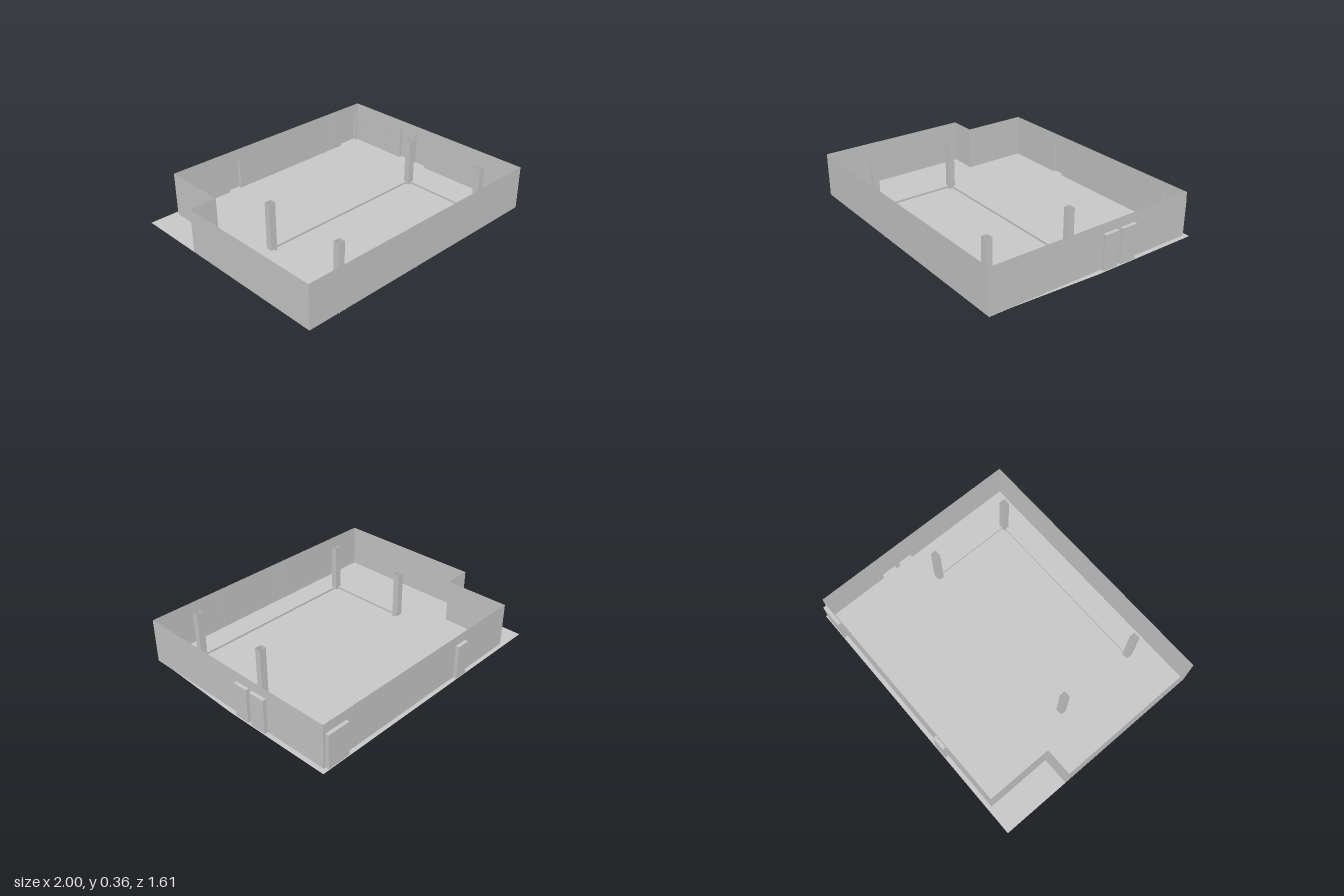
import * as THREE from 'three';

const FLOOR = 0.018, TOP = 0.335, DOOR_TOP = 0.265, PIT = 0.003;

export function createModel() {
  const model = new THREE.Group();
  const mat = new THREE.MeshStandardMaterial({ color: 0xcccccc, side: THREE.DoubleSide, flatShading: true });

  function add(geometry, name, parent = model) {
    const mesh = new THREE.Mesh(geometry, mat);
    mesh.name = name;
    parent.add(mesh);
    return mesh;
  }
  function box(name, x0, x1, y0, y1, z0, z1, parent) {
    const mesh = add(new THREE.BoxGeometry(x1 - x0, y1 - y0, z1 - z0), name, parent);
    mesh.position.set((x0 + x1) / 2, (y0 + y1) / 2, (z0 + z1) / 2);
    return mesh;
  }
  const rect = (C, a0, b0, a1, b1) => {
    const p = new C();
    p.moveTo(a0, b0).lineTo(a1, b0).lineTo(a1, b1).lineTo(a0, b1).closePath();
    return p;
  };

  // Open ring of four upright faces: used for pit sides, columns and door reveals
  function ring(name, x0, x1, y0, y1, z0, z1) {
    const corners = [[x0, z0], [x0, z1], [x1, z1], [x1, z0]];
    const pos = [], idx = [];
    corners.forEach(([x, z], i) => {
      const [u, w] = corners[(i + 1) % 4];
      pos.push(x, y0, z, u, y0, w, u, y1, w, x, y1, z);
      const k = i * 4;
      idx.push(k, k + 1, k + 2, k, k + 2, k + 3);
    });
    const g = new THREE.BufferGeometry();
    g.setAttribute('position', new THREE.Float32BufferAttribute(pos, 3));
    g.setIndex(idx);
    g.computeVertexNormals();
    return add(g, name);
  }

  // Floor slab surface with a rectangular opening for the sunken area
  const px0 = -0.61, px1 = 0.72, pz0 = 0.01, pz1 = 0.63;
  const floorShape = new THREE.Shape([
    [-1, -0.805], [1, -0.805], [1, 0], [0.97, 0.65], [0.97, 0.803], [-1, 0.803],
  ].map(([x, z]) => new THREE.Vector2(x, -z)));
  floorShape.holes.push(rect(THREE.Path, px0, -pz1, px1, -pz0));
  const floor = add(new THREE.ShapeGeometry(floorShape), 'floor');
  floor.rotation.x = -Math.PI / 2;
  floor.position.y = FLOOR;

  // Shallow sunken area
  const pit = add(new THREE.PlaneGeometry(px1 - px0, pz1 - pz0), 'sunkenFloor');
  pit.rotation.x = -Math.PI / 2;
  pit.position.set((px0 + px1) / 2, PIT, (pz0 + pz1) / 2);
  ring('sunkenFloorSides', px0, px1, PIT, FLOOR, pz0, pz1);

  // Hollow columns at its corners
  for (const x of [px0, px1])
    for (const z of [pz0 + 0.002, pz1 + 0.007])
      ring('column', x - 0.025, x + 0.025, 0, 0.36, z - 0.022, z + 0.022);

  // Thin walls; doors are spans along the wall, measured from its start,
  // each recessed outwards (to the wall's right) as a shallow niche
  function wall(name, [x0, z0], [x1, z1], doors = [], depth = 0.025) {
    const len = Math.hypot(x1 - x0, z1 - z0);
    const group = new THREE.Group();
    group.name = name;
    group.position.set(x0, 0, z0);
    group.rotation.y = -Math.atan2(z1 - z0, x1 - x0);
    model.add(group);

    const pts = [[0, FLOOR]];
    for (const [a, b] of doors) pts.push([a, FLOOR], [a, DOOR_TOP], [b, DOOR_TOP], [b, FLOOR]);
    pts.push([len, FLOOR], [len, TOP], [0, TOP]);
    const shape = new THREE.Shape(pts.map(p => new THREE.Vector2(...p)));
    add(new THREE.ShapeGeometry(shape), name + 'Panel', group);

    for (const [a, b] of doors) {
      const h = DOOR_TOP - FLOOR, mid = (FLOOR + DOOR_TOP) / 2;
      const panel = add(new THREE.PlaneGeometry(b - a, h), 'doorPanel', group);
      panel.position.set((a + b) / 2, mid, -depth);
      for (const s of [a, b]) {
        const jamb = add(new THREE.PlaneGeometry(Math.abs(depth), h), 'doorJamb', group);
        jamb.rotation.y = Math.PI / 2;
        jamb.position.set(s, mid, -depth / 2);
      }
      const head = add(new THREE.PlaneGeometry(b - a, Math.abs(depth)), 'doorHead', group);
      head.rotation.x = Math.PI / 2;
      head.position.set((a + b) / 2, DOOR_TOP, -depth / 2);
    }
  }
  const L = -1, R = 0.967, F = 0.803, B = -0.775, NX = -0.8, NZ = -0.3;
  wall('frontWall', [L, F], [R, F]);
  wall('leftWall', [R, B], [R, F], [[B, -0.305, -0.185], [B, -0.155, -0.045]].map(([o, a, b]) => [a - o, b - o]));
  wall('backWall', [NX, B], [R, B], [[-0.35 - NX, -0.25 - NX], [0.78 - NX, 0.95 - NX]]);
  wall('rightWall', [L, NZ], [L, F]);
  wall('notchFrontWall', [L, NZ], [NX, NZ]);
  wall('notchSideWall', [NX, B], [NX, NZ]);

  // Narrow joint strips on the inner wall faces, reaching just below the floor
  const w = 0.003, t = 0.003;
  for (const x of [-0.765, -0.72, -0.2, -0.1, 0.385])
    box('frontWallStrip', x - w, x + w, 0.012, TOP, F - t, F - 0.0005);
  for (const x of [-0.45, -0.2, -0.07, -0.01, 0.37, 0.66, 0.7])
    box('backWallStrip', x - w, x + w, 0.012, TOP, B + 0.0005, B + t);
  for (const z of [-0.68, -0.56, -0.47, -0.41, 0.06, 0.13, 0.31])
    box('leftWallStrip', R - t, R - 0.0005, 0.012, TOP, z - w, z + w);
  for (const z of [-0.56, -0.41])
    box('notchWallStrip', NX + 0.0005, NX + t, 0.012, TOP, z - w, z + w);

  return model;
}
